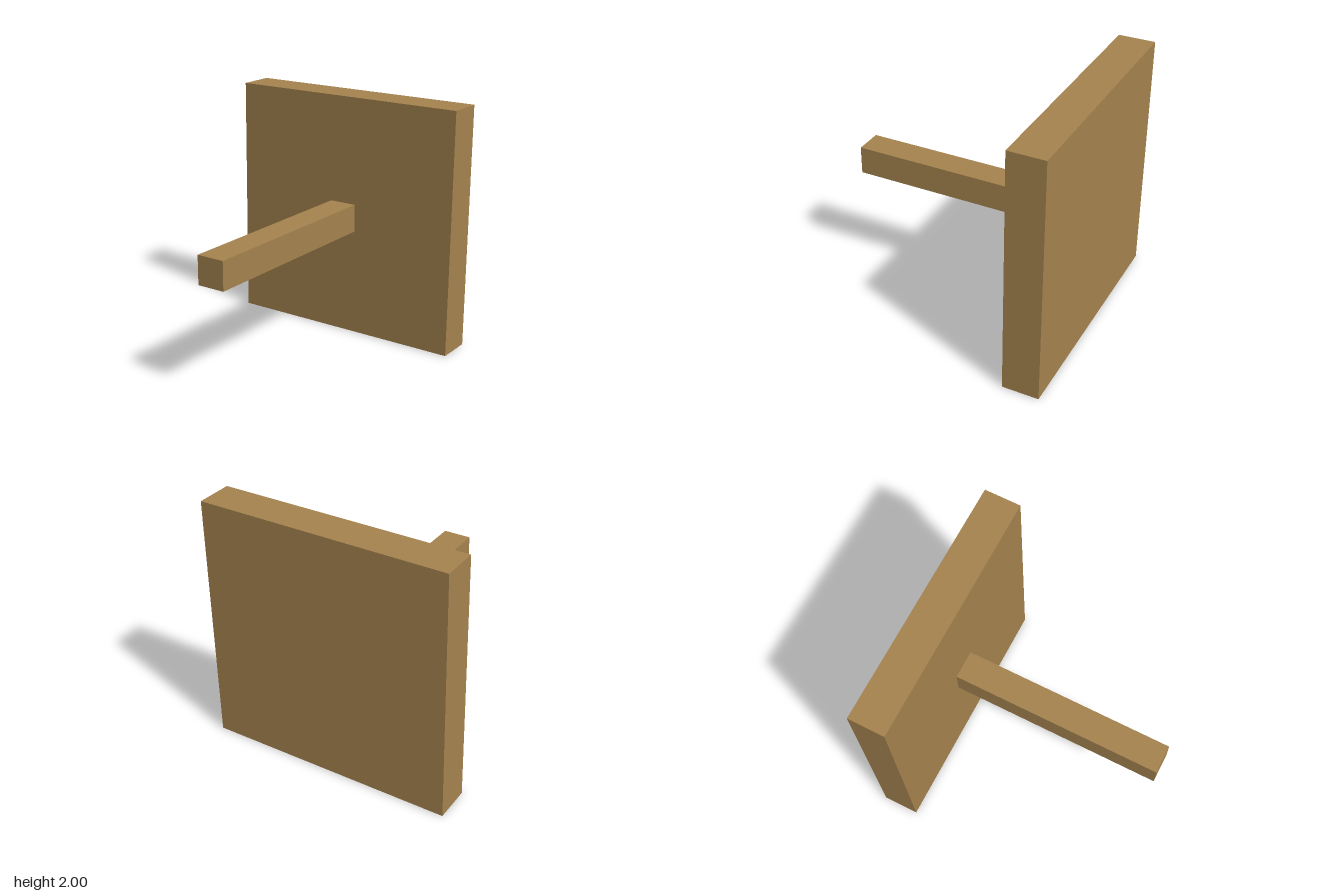
import * as THREE from 'three';

export function createModel() {
  const group = new THREE.Group();
  const wood = new THREE.MeshStandardMaterial({ color: 0xa6844f });
  wood.name = 'wood';

  const plateInner = 0.706; // x of the plate's inner face
  const armThickness = 0.23;

  const addBox = (name, x0, x1, size) => {
    const mesh = new THREE.Mesh(new THREE.BoxGeometry(x1 - x0, size, size), wood);
    mesh.name = name;
    mesh.position.set((x0 + x1) / 2, 1, 0);
    group.add(mesh);
  };

  // Square head plate standing upright on the left side
  addBox('headPlate', plateInner, 1, 2);
  // Square arm reaching out from the middle of the plate
  addBox('arm', -1, plateInner, armThickness);

  return group;
}
